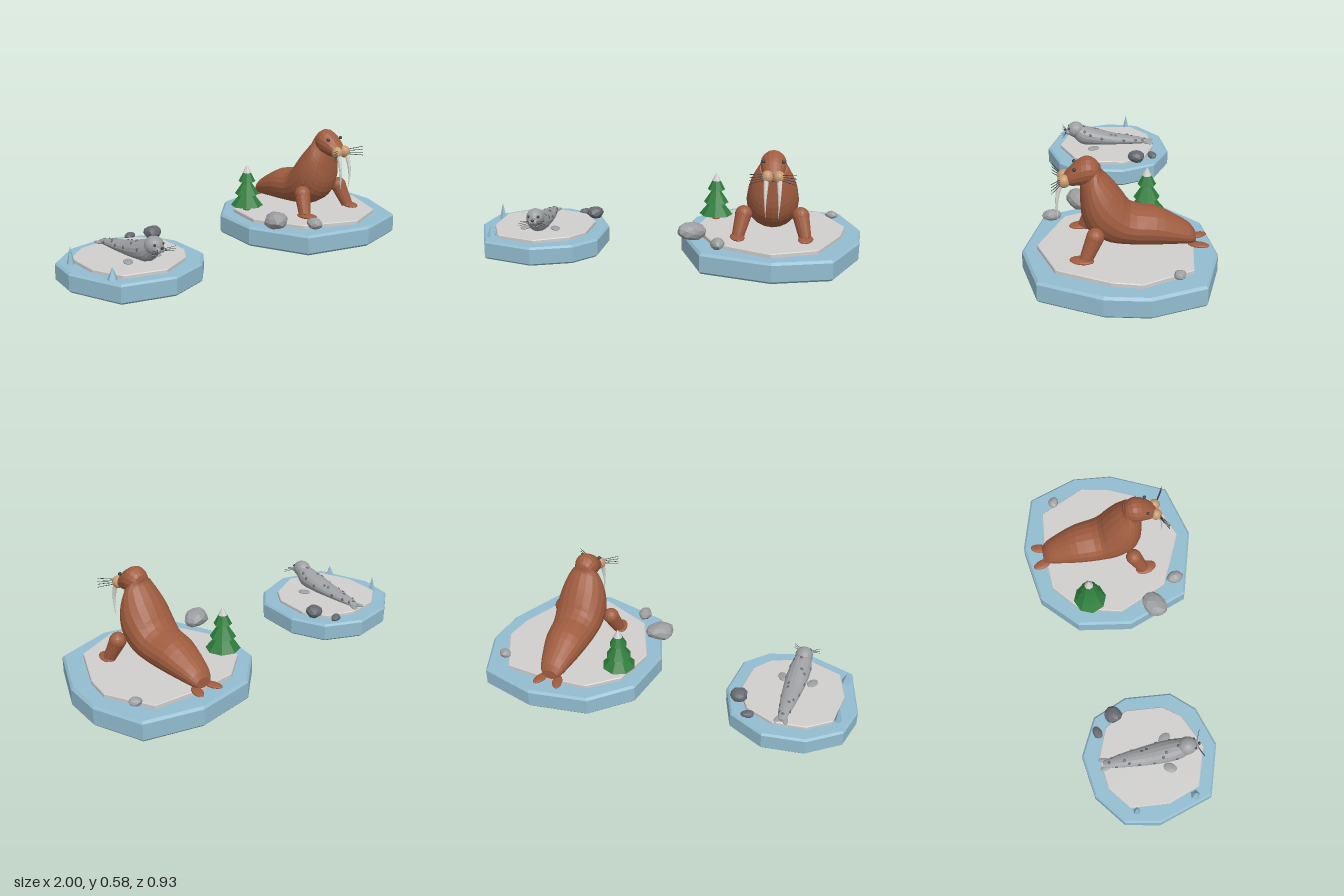
import * as THREE from 'three';

const mat = (name, color, extra = {}) => {
  const m = new THREE.MeshStandardMaterial({ color, ...extra });
  m.name = name;
  return m;
};
const ice = mat('ice blue', 0x93bdd0);
const snow = mat('snow', 0xd0cfcd);
const brown = mat('brown hide', 0x9f5c3f);
const tan = mat('tan muzzle', 0xc59b70);
const green = mat('pine green', 0x2f7d3c);
const gray = mat('gray', 0x9c9ea1);
const darkGray = mat('dark gray', 0x666a70);
const dark = mat('charcoal', 0x3a4046);
const ivory = mat('ivory', 0xdcdcd6);

// Faceted mesh added to a parent
function add(parent, name, geo, material, pos = [0, 0, 0], scale = [1, 1, 1], rot = [0, 0, 0]) {
  const g = geo.index ? geo.toNonIndexed() : geo;
  g.computeVertexNormals();
  const m = new THREE.Mesh(g, material);
  m.name = name;
  m.position.set(...pos);
  m.scale.set(...scale);
  m.rotation.set(...rot);
  parent.add(m);
  return m;
}

const ball = () => new THREE.SphereGeometry(1, 16, 12);

// Skin between rings of points, closed at both ends
function loft(rings) {
  const n = rings[0].length, pos = [], idx = [];
  rings.forEach(r => r.forEach(p => pos.push(p.x, p.y, p.z)));
  for (let i = 0; i < rings.length - 1; i++) {
    for (let j = 0; j < n; j++) {
      const k = (j + 1) % n, a = i * n + j, b = i * n + k, c = b + n, d = a + n;
      idx.push(a, d, c, a, c, b);
    }
  }
  [rings[0], rings[rings.length - 1]].forEach((r, e) => {
    const c = r.reduce((s, p) => s.add(p), new THREE.Vector3()).divideScalar(n);
    const ci = pos.length / 3, o = e * (rings.length - 1) * n;
    pos.push(c.x, c.y, c.z);
    for (let j = 0; j < n; j++) {
      const k = (j + 1) % n;
      if (e) idx.push(ci, o + k, o + j); else idx.push(ci, o + j, o + k);
    }
  });
  const g = new THREE.BufferGeometry();
  g.setAttribute('position', new THREE.Float32BufferAttribute(pos, 3));
  g.setIndex(idx);
  return g;
}

// Surface from sections [top z, top y, bottom z, bottom y, half width], tail to head
function surface(sections) {
  const curve = f => new THREE.CatmullRomCurve3(sections.map(f));
  const top = curve(s => new THREE.Vector3(s[4], s[1], s[0]));
  const bottom = curve(s => new THREE.Vector3(0, s[3], s[2]));
  return (t, angle) => {
    const a = top.getPoint(t), b = bottom.getPoint(t);
    const w = a.x;
    a.x = 0;
    const mid = a.clone().add(b).multiplyScalar(0.5);
    const p = mid.clone().addScaledVector(a.sub(mid), Math.cos(angle));
    p.x = w * Math.sin(angle);
    return p;
  };
}
function body(at, rings, sides) {
  return loft(Array.from({ length: rings + 1 }, (_, i) =>
    Array.from({ length: sides }, (_, j) => at(i / rings, j / sides * Math.PI * 2))));
}

// Tapered round bar between two points
function bar(parent, name, material, from, to, r0, r1, sides = 5) {
  const a = new THREE.Vector3(...from), b = new THREE.Vector3(...to), d = b.clone().sub(a);
  const m = add(parent, name, new THREE.CylinderGeometry(r1, r0, d.length(), sides), material);
  m.position.copy(a).add(b).multiplyScalar(0.5);
  m.quaternion.setFromUnitVectors(new THREE.Vector3(0, 1, 0), d.normalize());
}

// Polygonal slab with bevelled rims
function slab(parent, name, material, outline, y0, y1, bevel, bevelBottom) {
  const cx = outline.reduce((s, p) => s + p[0], 0) / outline.length;
  const cz = outline.reduce((s, p) => s + p[1], 0) / outline.length;
  const ring = (y, inset) => outline.map(([x, z]) => {
    const k = 1 - inset / Math.hypot(x - cx, z - cz);
    return new THREE.Vector3(cx + (x - cx) * k, y, cz + (z - cz) * k);
  });
  const rings = [ring(y0 + bevel, 0), ring(y1 - bevel, 0), ring(y1, bevel)];
  rings.unshift(ring(y0, bevelBottom ? bevel : 0));
  add(parent, name, loft(rings), material);
}

function rock(parent, material, pos, scale, seed) {
  const g = new THREE.IcosahedronGeometry(1, 1), p = g.attributes.position;
  const v = new THREE.Vector3();
  for (let i = 0; i < p.count; i++) {
    v.fromBufferAttribute(p, i);
    v.multiplyScalar(0.97 + 0.1 * Math.sin(v.x * 3 + seed) * Math.cos(v.y * 2.5 + v.z * 3 + seed * 2));
    p.setXYZ(i, v.x, v.y, v.z);
  }
  add(parent, 'rock', g, material, pos, scale, [0, seed, 0]);
}

function walrus() {
  const g = new THREE.Group();
  g.name = 'walrus';
  const torso = surface([
    [-0.362, 0.185, -0.365, 0.135, 0.042], [-0.335, 0.222, -0.34, 0.13, 0.062],
    [-0.27, 0.264, -0.26, 0.132, 0.085], [-0.18, 0.312, -0.15, 0.135, 0.108],
    [-0.06, 0.336, -0.04, 0.142, 0.12], [-0.02, 0.39, 0.06, 0.158, 0.13],
    [0.02, 0.447, 0.14, 0.21, 0.13], [0.05, 0.482, 0.174, 0.285, 0.117],
    [0.08, 0.515, 0.18, 0.37, 0.095], [0.085, 0.54, 0.18, 0.445, 0.068]]);
  add(g, 'body', body(torso, 24, 20), brown);
  const head = surface([
    [0.086, 0.52, 0.086, 0.51, 0.008], [0.1, 0.56, 0.1, 0.465, 0.045],
    [0.147, 0.584, 0.147, 0.45, 0.064], [0.2, 0.557, 0.2, 0.443, 0.057],
    [0.24, 0.515, 0.235, 0.445, 0.044], [0.258, 0.492, 0.255, 0.455, 0.025]]);
  add(g, 'head', body(head, 12, 16), brown);
  for (const s of [1, -1]) {
    add(g, 'muzzle', ball(), tan, [s * 0.028, 0.475, 0.254], [0.029, 0.032, 0.03]);
    add(g, 'eye', ball(), dark, [s * 0.048, 0.54, 0.205], [0.009, 0.009, 0.009]);
    // Curved tusk
    const path = new THREE.CatmullRomCurve3([[0.032, 0.46, 0.269], [0.034, 0.4, 0.285],
      [0.034, 0.34, 0.289], [0.031, 0.275, 0.283]].map(([x, y, z]) => new THREE.Vector3(s * x, y, z)));
    for (let i = 0; i < 6; i++) {
      bar(g, 'tusk', ivory, path.getPoint(i / 6).toArray(), path.getPoint((i + 1) / 6).toArray(),
        0.0135 * (1 - i / 6.2), 0.0135 * (1 - (i + 1) / 6.2), 8);
    }
    for (let i = 0; i < 4; i++) {
      bar(g, 'whisker', dark, [s * 0.042, 0.462 + i * 0.009, 0.268],
        [s * 0.112, 0.452 + i * 0.016, 0.31], 0.002, 0.0015);
    }
    // Front limb and foot
    add(g, 'shoulder', ball(), brown, [s * 0.143, 0.243, 0.115], [0.043, 0.043, 0.042]);
    bar(g, 'arm', brown, [s * 0.143, 0.243, 0.115], [s * 0.168, 0.14, 0.16], 0.042, 0.031, 14);
    add(g, 'frontFlipper', ball(), brown, [s * 0.17, 0.138, 0.178], [0.037, 0.012, 0.058], [0, -s * 0.25, 0]);
    add(g, 'rearFlipper', ball(), brown, [s * 0.047, 0.136, -0.375], [0.026, 0.01, 0.052], [0, -s * 0.3, 0]);
  }
  g.position.x = 0.54;
  return g;
}

function seal() {
  const g = new THREE.Group();
  g.name = 'seal';
  const at = surface([
    [-0.245, 0.133, -0.245, 0.116, 0.016], [-0.2, 0.145, -0.2, 0.114, 0.027],
    [-0.12, 0.162, -0.12, 0.113, 0.04], [-0.03, 0.178, -0.03, 0.113, 0.05],
    [0.06, 0.204, 0.08, 0.113, 0.057], [0.13, 0.225, 0.16, 0.122, 0.053],
    [0.165, 0.235, 0.2, 0.16, 0.042]]);
  add(g, 'body', body(at, 18, 16), gray);
  add(g, 'head', ball(), gray, [0, 0.207, 0.188], [0.046, 0.046, 0.05]);
  add(g, 'nose', ball(), dark, [0, 0.207, 0.25], [0.009, 0.007, 0.007]);
  for (const s of [1, -1]) {
    add(g, 'muzzle', ball(), gray, [s * 0.012, 0.195, 0.232], [0.016, 0.014, 0.016]);
    add(g, 'eye', ball(), dark, [s * 0.024, 0.221, 0.226], [0.007, 0.007, 0.007]);
    for (let i = 0; i < 3; i++) {
      bar(g, 'whisker', dark, [s * 0.018, 0.192 + i * 0.004, 0.243],
        [s * 0.068, 0.183 + i * 0.013, 0.265], 0.0015, 0.001);
    }
    add(g, 'frontFlipper', ball(), gray, [s * 0.078, 0.119, 0.088], [0.024, 0.008, 0.035], [0, s * 0.5, 0]);
    add(g, 'rearFlipper', ball(), gray, [s * 0.019, 0.121, -0.235], [0.014, 0.007, 0.032], [0, -s * 0.3, 0]);
  }
  // Spots scattered over the back and flanks
  for (let i = 0; i < 18; i++) {
    const t = 0.12 + i * 0.045, a = Math.sin(i * 2.4) * 1.35;
    const p = at(t, a), axis = at(t, 0).add(at(t, Math.PI)).multiplyScalar(0.5);
    const spot = add(g, 'spot', new THREE.SphereGeometry(1, 8, 6), darkGray, p.toArray(),
      [0.009, 0.009, 0.003]);
    spot.lookAt(p.clone().multiplyScalar(2).sub(axis));
  }
  g.position.x = -0.66;
  return g;
}

function tree() {
  const g = new THREE.Group();
  g.name = 'pineTree';
  add(g, 'trunk', new THREE.CylinderGeometry(0.018, 0.022, 0.06, 8), brown, [0, 0.145, 0]);
  for (const [r, y, h] of [[0.088, 0.155, 0.11], [0.066, 0.22, 0.1], [0.046, 0.29, 0.09]]) {
    add(g, 'branches', new THREE.ConeGeometry(r, h, 8), green, [0, y + h / 2, 0]);
  }
  add(g, 'snowCap', new THREE.ConeGeometry(0.024, 0.044, 8), snow, [0, 0.36, 0]);
  g.position.set(0.24, 0, -0.155);
  return g;
}

export function createModel() {
  const model = new THREE.Group();
  model.name = 'iceFloes';
  // Large floe
  slab(model, 'largeFloe', ice, [[0.62, -0.465], [0.91, -0.38], [1, -0.12], [0.98, 0.09], [0.84, 0.385],
    [0.545, 0.46], [0.195, 0.36], [0.075, 0.04], [0.12, -0.24], [0.31, -0.42]], 0, 0.107, 0.012, true);
  slab(model, 'largeSnow', snow, [[0.56, -0.355], [0.8, -0.33], [0.915, -0.09], [0.89, 0.05], [0.77, 0.3],
    [0.54, 0.388], [0.26, 0.26], [0.145, 0], [0.2, -0.22], [0.35, -0.345]], 0.1, 0.128, 0.004, false);
  // Small floe
  slab(model, 'smallFloe', ice, [[-0.59, -0.345], [-0.4, -0.25], [-0.325, -0.07], [-0.345, 0.17], [-0.45, 0.285],
    [-0.655, 0.35], [-0.91, 0.27], [-1, -0.015], [-0.965, -0.19], [-0.805, -0.315]], 0, 0.096, 0.01, true);
  slab(model, 'smallSnow', snow, [[-0.62, -0.26], [-0.47, -0.2], [-0.4, -0.08], [-0.415, 0.11], [-0.48, 0.2],
    [-0.655, 0.28], [-0.855, 0.215], [-0.915, 0.05], [-0.9, -0.15], [-0.785, -0.24]], 0.09, 0.114, 0.004, false);
  model.add(walrus(), seal(), tree());
  // Rocks
  rock(model, gray, [0.14, 0.162, 0.18], [0.08, 0.047, 0.063], 0.4);
  rock(model, gray, [0.28, 0.148, 0.32], [0.046, 0.03, 0.034], 1.7);
  rock(model, gray, [0.855, 0.138, -0.258], [0.034, 0.022, 0.029], 2.6);
  rock(model, darkGray, [-0.415, 0.138, -0.15], [0.047, 0.035, 0.046], 0.9);
  rock(model, darkGray, [-0.487, 0.112, -0.245], [0.036, 0.018, 0.025], 0.3);
  // Ice spikes
  for (const [x, z, r, h] of [[-0.895, 0.187, 0.028, 0.065], [-0.92, -0.12, 0.021, 0.09]]) {
    add(model, 'iceSpike', new THREE.ConeGeometry(r, h, 5), ice, [x, 0.092 + h / 2, z]);
  }
  return model;
}
